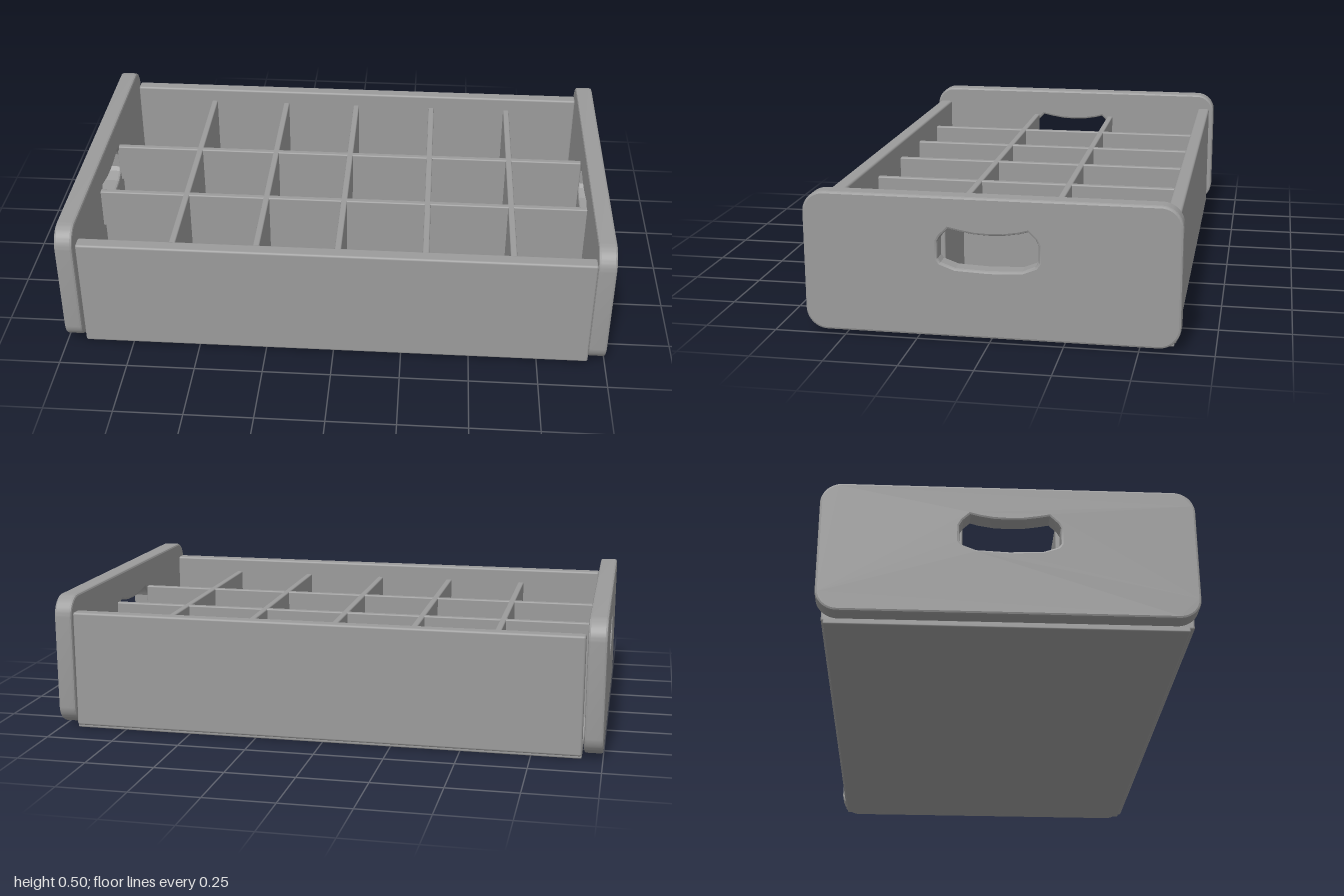
import * as THREE from 'three';
import { toCreasedNormals } from 'three/addons/utils/BufferGeometryUtils.js';
import { RoundedBoxGeometry } from 'three/addons/geometries/RoundedBoxGeometry.js';

const material = new THREE.MeshStandardMaterial({ color: 0x9b9b9b });

// Softly rounded board given by its minimum and maximum corners
function board(name, [x0, y0, z0], [x1, y1, z1], radius = 0.005) {
  const geometry = new RoundedBoxGeometry(x1 - x0, y1 - y0, z1 - z0, 2, radius);
  const mesh = new THREE.Mesh(geometry, material);
  mesh.position.set((x0 + x1) / 2, (y0 + y1) / 2, (z0 + z1) / 2);
  mesh.name = name;
  return mesh;
}

// Rounded end panel outline with a faceted hand hole; shape x is -z of the crate
function endPanelGeometry(thickness) {
  const w = 0.638, y0 = 0.013, y1 = 0.5, r = 0.075, bevel = 0.008;
  const shape = new THREE.Shape();
  shape.moveTo(-w + r, y0);
  shape.lineTo(w - r, y0);
  shape.absarc(w - r, y0 + r, r, -Math.PI / 2, 0);
  shape.absarc(w - r, y1 - r, r, 0, Math.PI / 2);
  shape.absarc(-w + r, y1 - r, r, Math.PI / 2, Math.PI);
  shape.absarc(-w + r, y0 + r, r, Math.PI, Math.PI * 1.5);

  const corners = [
    [-0.165, 0.272], [-0.175, 0.285], [-0.175, 0.345], [-0.165, 0.362], [-0.138, 0.389],
    [-0.1, 0.381], [-0.05, 0.373], [0, 0.371], [0.05, 0.373], [0.1, 0.381],
    [0.13, 0.389], [0.155, 0.365], [0.166, 0.345], [0.166, 0.287], [0.155, 0.272],
    [0.11, 0.254], [0, 0.249], [-0.115, 0.254],
  ];
  shape.holes.push(new THREE.Path(corners.map(([u, y]) => new THREE.Vector2(u, y))));

  const geometry = new THREE.ExtrudeGeometry(shape, {
    depth: thickness - 2 * bevel, bevelThickness: bevel, bevelSize: bevel,
    bevelOffset: -bevel, bevelSegments: 2, curveSegments: 8,
  });
  geometry.translate(0, 0, bevel);
  geometry.rotateY(Math.PI / 2);
  return toCreasedNormals(geometry, 0.3);
}

export function createModel() {
  const crate = new THREE.Group();
  crate.name = 'crate';

  // End panels with hand holes
  for (const [name, x] of [['rightEnd', -1], ['leftEnd', 0.934]]) {
    const end = new THREE.Mesh(endPanelGeometry(0.066), material);
    end.position.x = x;
    end.name = name;
    crate.add(end);
  }

  // Long walls and floor
  crate.add(
    board('frontWall', [-0.927, 0.01, 0.573], [0.937, 0.44, 0.625], 0.008),
    board('backWall', [-0.927, 0.01, -0.619], [0.937, 0.44, -0.57], 0.008),
    board('floor', [-0.927, 0, -0.612], [0.937, 0.025, 0.61]),
  );

  // Long dividers, with tabs bridging the small gap at one end
  for (const z of [-0.167, 0.173]) {
    const divider = new THREE.Group();
    divider.name = 'longDivider';
    divider.add(board('dividerBoard', [-0.927, 0.02, z - 0.012], [0.937, 0.387, z + 0.012]));
    for (const [y0, y1] of [[0.02, 0.11], [0.23, 0.387]]) {
      divider.add(board('dividerTab', [-0.94, y0, z - 0.012], [-0.91, y1, z + 0.012]));
    }
    crate.add(divider);
  }

  // Cross dividers
  for (const x of [-0.6, -0.29, 0.01, 0.33, 0.648]) {
    crate.add(board('crossDivider', [x - 0.012, 0.02, -0.572], [x + 0.012, 0.387, 0.566]));
  }
  return crate;
}
